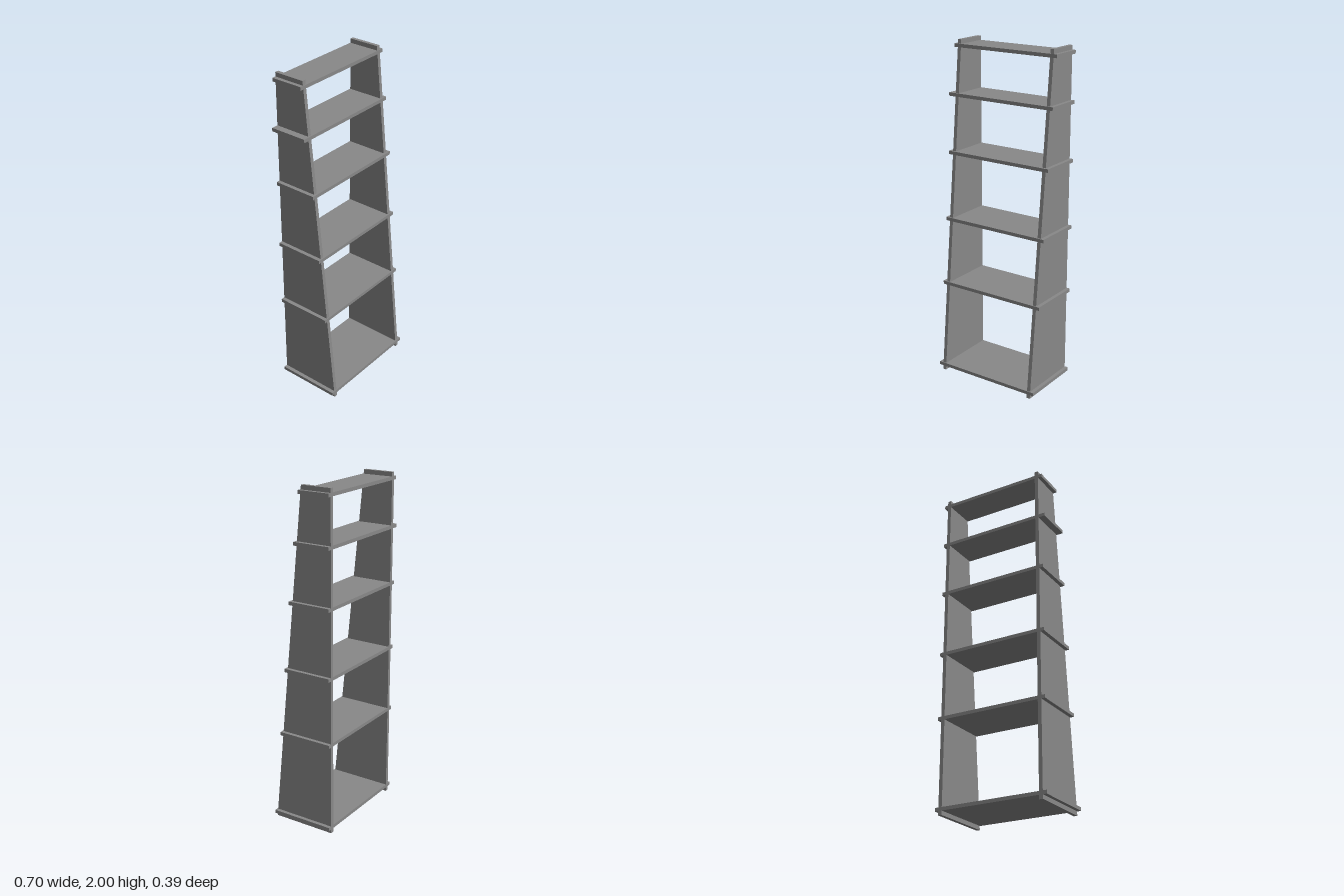
import * as THREE from 'three';

const BACK = -0.194;

export function createModel() {
  const group = new THREE.Group();
  group.name = 'taperedShelfUnit';
  const material = new THREE.MeshStandardMaterial({ color: 0x888888, flatShading: true });

  const add = (name, geometry, x, y, z) => {
    const mesh = new THREE.Mesh(geometry, material);
    mesh.name = name;
    mesh.position.set(x, y, z);
    group.add(mesh);
  };

  // Side panels: upright back edge, front edge leaning back towards the top
  const thickness = 0.022;
  const profile = new THREE.Shape([
    new THREE.Vector2(-0.192, 0),
    new THREE.Vector2(-BACK, 0),
    new THREE.Vector2(-BACK, 2),
    new THREE.Vector2(0.008, 2),
  ]);
  const panel = new THREE.ExtrudeGeometry(profile, { depth: thickness, bevelEnabled: false });
  panel.rotateY(Math.PI / 2); // profile x becomes -z, depth becomes +x
  add('rightPanel', panel, -0.311, 0, 0);
  add('leftPanel', panel, 0.308, 0, 0);

  // Shelves pass through the panels: [centre height, front edge z, right end x]
  const shelves = [
    [0.034, 0.193, -0.334],
    [0.556, 0.141, -0.334],
    [0.953, 0.104, -0.334],
    [1.351, 0.068, -0.334],
    [1.687, 0.031, -0.352], // this one has a longer right tab
    [1.965, -0.002, -0.334],
  ];
  const leftEnd = 0.352;
  shelves.forEach(([y, front, rightEnd], i) => {
    const board = new THREE.BoxGeometry(leftEnd - rightEnd, 0.02, front - BACK);
    add(`shelf${i + 1}`, board, (leftEnd + rightEnd) / 2, y, (front + BACK) / 2);
  });

  return group;
}
